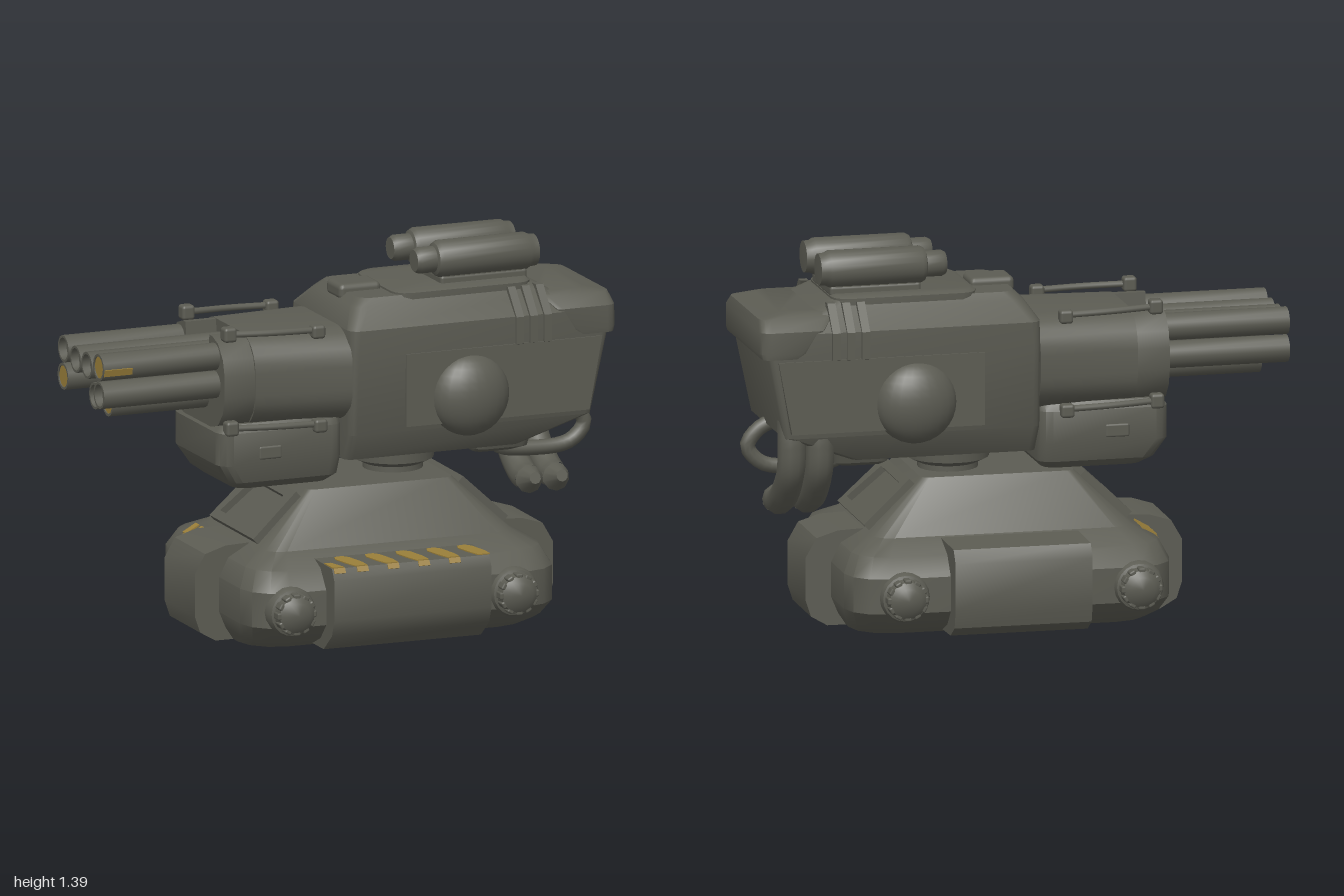
import * as THREE from 'three';
import { toCreasedNormals } from 'three/addons/utils/BufferGeometryUtils.js';
import { RoundedBoxGeometry } from 'three/addons/geometries/RoundedBoxGeometry.js';

const mat = (name, color) => {
  const m = new THREE.MeshStandardMaterial({ color });
  m.name = name;
  return m;
};

// Stack of rounded rectangles, each [y, x0, x1, z0, z1, corner]
function loft(levels, steps = 3) {
  const pos = [], idx = [], n = 4 * (steps + 1);
  for (const [y, x0, x1, z0, z1, c] of levels) {
    const corners = [[x1 - c, z0 + c], [x0 + c, z0 + c], [x0 + c, z1 - c], [x1 - c, z1 - c]];
    corners.forEach(([cx, cz], k) => {
      for (let i = 0; i <= steps; i++) {
        const a = (k + i / steps) * Math.PI / 2;
        pos.push(cx + c * Math.cos(a), y, cz - c * Math.sin(a));
      }
    });
  }
  for (let l = 0; l < levels.length - 1; l++)
    for (let i = 0; i < n; i++) {
      const a = l * n + i, b = l * n + (i + 1) % n;
      idx.push(a, b, b + n, a, b + n, a + n);
    }
  const top = (levels.length - 1) * n;
  for (let i = 1; i < n - 1; i++) idx.push(0, i + 1, i, top, top + i, top + i + 1);
  const g = new THREE.BufferGeometry();
  g.setAttribute('position', new THREE.Float32BufferAttribute(pos, 3));
  g.setIndex(idx);
  return toCreasedNormals(g, 0.6);
}

const shapeOf = pts => new THREE.Shape(pts.map(p => new THREE.Vector2(p[0], p[1])));
const extrude = (shape, depth) =>
  toCreasedNormals(new THREE.ExtrudeGeometry(shape, { depth, bevelEnabled: false, curveSegments: 6 }), 0.6);
// Profile of [z, y] points swept from x0 to x1
const extrudeX = (pts, x0, x1) =>
  extrude(shapeOf(pts.map(([z, y]) => [-z, y])), x1 - x0).rotateY(Math.PI / 2).translate(x0, 0, 0);
// Round part along x, from a profile of [radius, x] points
const turnX = (pts, seg = 20) =>
  toCreasedNormals(new THREE.LatheGeometry(pts.map(([r, x]) => new THREE.Vector2(r, x)), seg).rotateZ(-Math.PI / 2), 0.6);
const tube = (pts, r) => new THREE.TubeGeometry(
  new THREE.CatmullRomCurve3(pts.map(p => new THREE.Vector3(...p))), 24, r, 10);

export function createModel() {
  const model = new THREE.Group();
  model.name = 'gunTurret';
  const grey = mat('olive grey', 0x5c5c53);
  const yellow = mat('warning yellow', 0x9a7f3a);
  const add = (parent, name, geo, x = 0, y = 0, z = 0, m = grey) => {
    const mesh = new THREE.Mesh(geo, m);
    mesh.name = name;
    mesh.position.set(x, y, z);
    parent.add(mesh);
    return mesh;
  };

  // Base hull
  const base = new THREE.Group();
  base.name = 'base';
  model.add(base);
  const ring = (y, hx, hz, c) => [y, 0.08 - hx, 0.08 + hx, -hz, hz, c];
  add(base, 'hull', loft([
    ring(0.005, 0.55, 0.33, 0.14), ring(0.05, 0.58, 0.43, 0.14), ring(0.11, 0.605, 0.485, 0.14),
    ring(0.24, 0.605, 0.485, 0.14), ring(0.31, 0.57, 0.43, 0.12), ring(0.355, 0.49, 0.32, 0.08),
    ring(0.55, 0.285, 0.215, 0.03)]));
  const half = [[0.62, 0.005], [0.68, 0.04], [0.7, 0.1], [0.7, 0.26], [0.66, 0.33], [0.58, 0.355], [0.46, 0.36]];
  add(base, 'middleBulge', extrude(shapeOf([
    ...half.map(([x, y]) => [0.08 + x, y]), ...half.map(([x, y]) => [0.08 - x, y]).reverse()]), 0.29), 0, 0, -0.145);
  add(base, 'frontPanel', extrudeX(
    [[0.3, 0.015], [0.46, 0.015], [0.54, 0.08], [0.562, 0.14], [0.562, 0.29], [0.54, 0.33], [0.3, 0.335]], -0.245, 0.37));
  add(base, 'rearPanel', extrudeX(
    [[-0.3, 0.015], [-0.48, 0.02], [-0.545, 0.06], [-0.562, 0.13], [-0.562, 0.3], [-0.53, 0.348], [-0.3, 0.352]], -0.19, 0.32));

  // Painted slanted stripes on the front panel, the first one cut by the panel edge
  const stripePts = [[-0.02, -0.385], [0.012, -0.38], [0.03, -0.405], [0.046, -0.49], [0.046, -0.54],
    [0, -0.54], [-0.012, -0.5], [-0.03, -0.42]];
  for (let i = 0; i < 6; i++) {
    const x = i ? -0.273 + i * 0.12 : -0.243;
    const pts = i ? stripePts : [[0, -0.46], [0.025, -0.465], [0.045, -0.54], [0, -0.54]];
    add(base, 'panelStripe', extrude(shapeOf(pts), 0.004).rotateX(-Math.PI / 2), x, 0.3315, 0, yellow);
    if (i < 5)
      add(base, 'panelStripeEdge', new THREE.BoxGeometry(0.044, 0.02, 0.006), x + 0.026, 0.322, 0.545, yellow)
        .rotation.x = -0.5;
  }
  // Short stripes on the hull shoulder below the muzzle, folded over its edge
  for (let i = 0; i < 3; i++) {
    const z = -0.265 + i * 0.055;
    add(base, 'shoulderStripe', new THREE.BoxGeometry(0.06, 0.008, 0.032), -0.467, 0.325, z, yellow).rotation.z = 0.51;
    add(base, 'shoulderStripeEdge', new THREE.BoxGeometry(0.06, 0.008, 0.032), -0.503, 0.285, z + 0.005, yellow).rotation.z = 1.1;
  }

  // Wheel-like hubs at the corners
  for (const x of [-0.38, 0.49]) for (const s of [-1, 1]) {
    const hub = new THREE.Group();
    hub.name = 'hub';
    hub.position.set(x, 0.17, s * 0.44);
    hub.rotation.y = s > 0 ? -Math.PI / 2 : Math.PI / 2;
    base.add(hub);
    add(hub, 'hubBody', turnX([[0.092, 0], [0.092, 0.045], [0.085, 0.06], [0.074, 0.064], [0.068, 0.1], [0.045, 0.118], [0, 0.123]]));
    for (let i = 0; i < 12; i++) {
      const a = i * Math.PI / 6;
      add(hub, 'hubTooth', new RoundedBoxGeometry(0.05, 0.024, 0.026, 1, 0.006), 0.078, 0.065 * Math.cos(a), 0.065 * Math.sin(a))
        .rotation.x = a;
    }
  }

  // Framed vents on both end slopes
  for (const s of [-1, 1]) {
    const vent = new THREE.Group();
    vent.name = 'vent';
    vent.position.set(0.08 + s * 0.395, 0.45, 0);
    vent.rotation.set(-0.82, s * Math.PI / 2, 0, 'YXZ');
    base.add(vent);
    const frame = shapeOf([[-0.21, -0.12], [0.21, -0.12], [0.2, 0.115], [-0.2, 0.115]]);
    frame.holes.push(new THREE.Path([[-0.17, -0.085], [-0.14, 0.08], [0.14, 0.08], [0.17, -0.085]].map(p => new THREE.Vector2(...p))));
    add(vent, 'ventFrame', extrude(frame, 0.045), 0, 0, -0.022);
    add(vent, 'ventPlate', new THREE.BoxGeometry(0.36, 0.2, 0.02), 0, 0, -0.012);
  }

  // Swivel neck
  add(model, 'neck', toCreasedNormals(new THREE.LatheGeometry(
    [[0, 0.53], [0.11, 0.53], [0.11, 0.57], [0.15, 0.59], [0.155, 0.66], [0, 0.66]].map(p => new THREE.Vector2(...p)), 24), 0.6),
    0.225, 0, -0.03);

  // Turret body
  const turret = new THREE.Group();
  turret.name = 'turret';
  turret.position.z = -0.035;
  turret.rotation.y = 0.015;
  model.add(turret);
  add(turret, 'turretBody', loft([
    [0.64, -0.05, 0.64, -0.22, 0.22, 0.03], [0.74, -0.055, 0.9, -0.27, 0.27, 0.03], [1.04, -0.055, 0.96, -0.285, 0.285, 0.03],
    [1.13, -0.055, 0.96, -0.285, 0.285, 0.04], [1.2, -0.01, 0.76, -0.215, 0.215, 0.05], [1.228, 0.02, 0.71, -0.19, 0.19, 0.05]]));
  add(turret, 'rearCap', loft([
    [1.04, 0.83, 0.985, -0.285, 0.285, 0.03], [1.06, 0.8, 0.993, -0.288, 0.288, 0.04],
    [1.14, 0.74, 0.993, -0.285, 0.285, 0.04], [1.18, 0.7, 0.985, -0.24, 0.24, 0.04], [1.197, 0.7, 0.9, -0.21, 0.21, 0.04]]));
  add(turret, 'underBlock', loft([
    [0.6, 0.5, 0.66, -0.13, 0.13, 0.03], [0.62, 0.49, 0.69, -0.18, 0.18, 0.03], [0.68, 0.49, 0.7, -0.2, 0.2, 0.03]]));
  for (const s of [-1, 1]) {
    add(turret, 'sidePlate', extrude(shapeOf([[0.16, 0.76], [0.88, 0.76], [0.93, 1.03], [0.16, 1.03]]), 0.02), 0, 0, s * 0.281 - 0.01);
    const dome = add(turret, 'sideDome', new THREE.SphereGeometry(0.152, 24, 16), 0.415, 0.855, s * 0.27);
    dome.scale.z = 0.63;
    const rib = [[0.27, 1.02], [0.297, 1.03], [0.297, 1.13], [0.215, 1.225], [0.18, 1.225], [0.25, 1.1]];
    for (let i = 0; i < 3; i++)
      add(turret, 'coolingRib', extrudeX(rib.map(([z, y]) => [s * z, y]), 0.59 + i * 0.055, 0.62 + i * 0.055));
  }
  add(turret, 'hatch', new RoundedBoxGeometry(0.165, 0.06, 0.135, 2, 0.02), 0.075, 1.225, 0);
  add(turret, 'roofPlate', loft([
    [1.21, 0.16, 0.7, -0.205, 0.205, 0.06], [1.235, 0.16, 0.7, -0.205, 0.205, 0.06], [1.243, 0.18, 0.69, -0.19, 0.19, 0.05]]));

  // Twin roof pods with bracket
  add(turret, 'podBracket', new RoundedBoxGeometry(0.34, 0.04, 0.28, 2, 0.012), 0.53, 1.25, 0);
  add(turret, 'podSight', new RoundedBoxGeometry(0.2, 0.05, 0.05, 2, 0.015), 0.52, 1.28, 0);
  for (const s of [-1, 1]) {
    add(turret, 'pod', turnX([[0, 0.265], [0.04, 0.265], [0.048, 0.28], [0.048, 0.34], [0.06, 0.345], [0.068, 0.36],
      [0.068, 0.7], [0.06, 0.715], [0.058, 0.738], [0, 0.741]]), 0, 1.33, s * 0.11);
    add(turret, 'podFoot', new THREE.BoxGeometry(0.3, 0.1, 0.055), 0.53, 1.26, s * 0.11);
    const fin = new THREE.ConeGeometry(0.02, 0.04, 4).rotateX(-s * Math.PI / 2);
    add(turret, 'podFin', fin, 0.52, 1.35, s * 0.047);
  }

  // Gun shroud: rounded drum, then a collar slotted at the top for the barrels
  const shroud = new THREE.Group();
  shroud.name = 'gunHousing';
  turret.add(shroud);
  const drum = loft([[0.05, -0.172, 0.172, -0.285, 0.285, 0.13], [0.42, -0.172, 0.172, -0.255, 0.255, 0.13]], 6).rotateZ(Math.PI / 2);
  add(shroud, 'shroud', drum, 0, 0.96, 0);
  const collar = [[0.1, 1.02], [0.11, 1.13], [0.135, 1.13], [0.19, 1.112], [0.235, 1.06], [0.252, 1.0],
    [0.252, 0.92], [0.235, 0.86], [0.19, 0.808], [0.125, 0.79]];
  add(shroud, 'collar', extrudeX([...collar, ...collar.map(([z, y]) => [-z, y]).reverse()], -0.54, -0.41));
  add(shroud, 'magazine', loft([
    [0.56, -0.46, -0.09, -0.17, 0.17, 0.05], [0.59, -0.5, -0.065, -0.21, 0.21, 0.05],
    [0.66, -0.545, -0.06, -0.23, 0.23, 0.05], [0.78, -0.545, -0.06, -0.23, 0.23, 0.05], [0.81, -0.52, -0.06, -0.21, 0.21, 0.05]]));
  for (const s of [-1, 1]) {
    for (const [y, z, name] of [[1.135, 0.215, 'upperRod'], [0.79, 0.235, 'lowerRod']]) {
      add(shroud, name, tube([[-0.52, y + 0.01, s * (z - 0.02)], [-0.33, y + 0.005, s * z], [-0.15, y, s * z]], 0.012));
      add(shroud, name + 'FrontClamp', new RoundedBoxGeometry(0.05, 0.055, 0.05, 2, 0.012), -0.5, y + 0.01, s * (z - 0.02));
      add(shroud, name + 'RearClamp', new RoundedBoxGeometry(0.05, 0.05, 0.05, 2, 0.012), -0.16, y - 0.005, s * z);
    }
    add(shroud, 'magazineLatch', new RoundedBoxGeometry(0.09, 0.05, 0.02, 2, 0.008), -0.35, 0.7, s * 0.224);
  }

  // Barrel cluster as [y, z, tip, painted muzzle], lower barrels shorter
  const barrels = [
    [1.06, -0.165, -0.998, false], [1.045, -0.052, -0.998, false], [1.045, 0.052, -0.998, false], [1.06, 0.16, -0.998, true],
    [0.957, -0.168, -0.998, true], [0.957, 0.165, -0.998, false], [0.9, -0.06, -0.92, false], [0.9, 0.06, -0.92, true]];
  for (const [y, z, tip, painted] of barrels) {
    add(shroud, 'barrel', turnX([[0.041, tip + 0.05], [0.041, tip], [0.05, tip], [0.05, -0.4]], 14), 0, y, z);
    add(shroud, 'muzzlePlug', new THREE.CircleGeometry(0.041, 14).rotateY(-Math.PI / 2),
      tip + (painted ? 0.004 : 0.03), y, z, painted ? yellow : grey);
  }
  add(shroud, 'barrelMark', new THREE.BoxGeometry(0.11, 0.026, 0.007), -0.94, 1.047, 0.207, yellow).rotation.x = 0.26;

  // Rear hoses with tapered plugs
  for (const x of [0.755, 0.86]) {
    add(model, 'ammoHose', tube([[x, 0.8, -0.255], [x, 0.7, -0.265], [x, 0.61, -0.25], [x, 0.51, -0.16],
      [x, 0.462, -0.07], [x, 0.458, -0.02]], 0.053));
    add(model, 'hosePlug', new THREE.CylinderGeometry(0.022, 0.053, 0.065, 10).rotateX(Math.PI / 2 - 0.25), x, 0.464, 0.008);
  }
  add(model, 'powerCable', tube([[0.85, 0.75, -0.008], [0.92, 0.72, -0.008], [0.965, 0.655, -0.008], [0.91, 0.59, -0.008],
    [0.76, 0.575, -0.008], [0.62, 0.6, -0.008], [0.6, 0.66, -0.008]], 0.028));
  return model;
}
